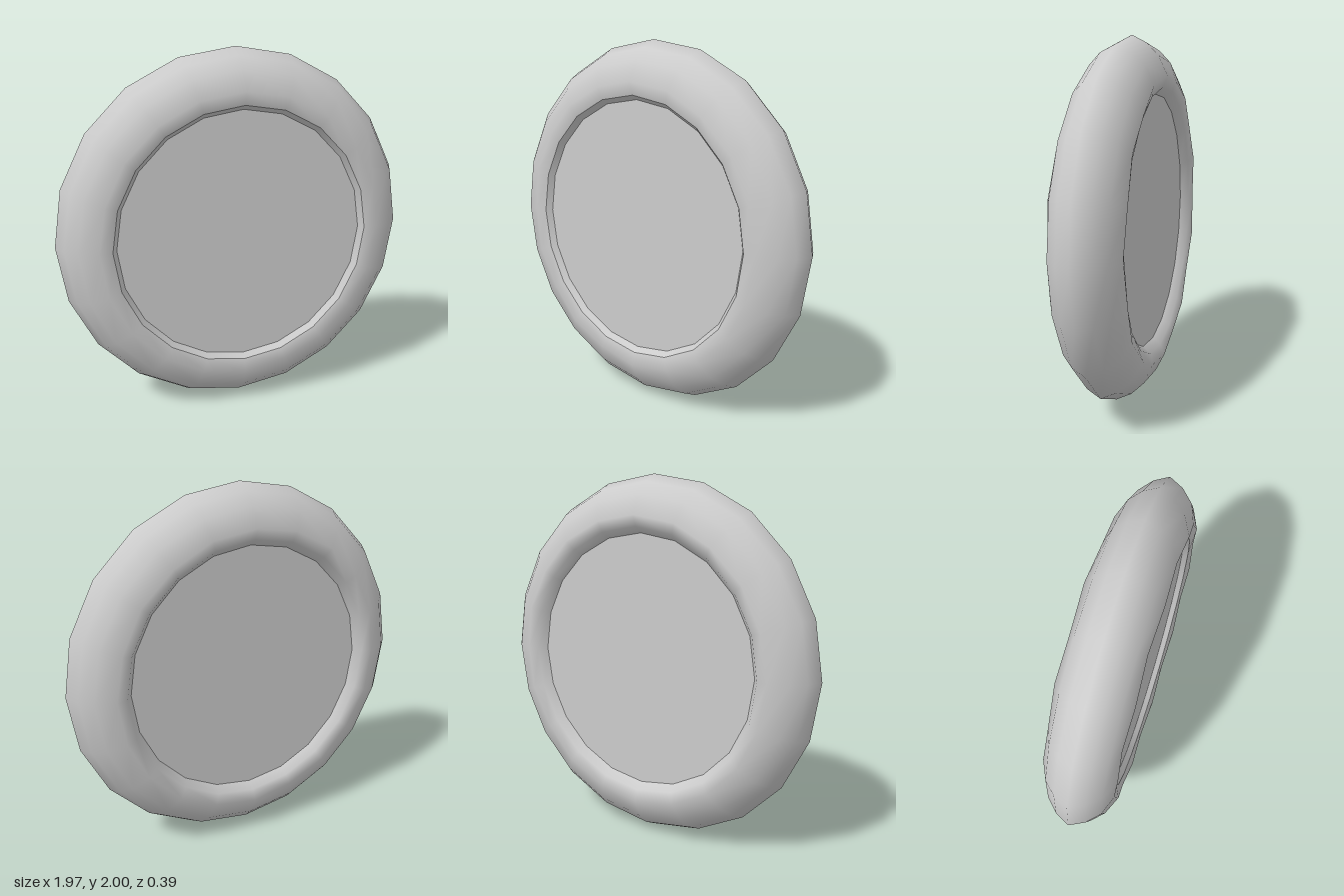
import * as THREE from 'three';

const SIDES = 20;
const material = new THREE.MeshStandardMaterial({ color: 0xcccccc });

// Revolve [radius, z] points about the z axis, with a slightly narrow x
function revolve(name, points, ripple = 0) {
  const geometry = new THREE.LatheGeometry(points.map(([r, z]) => new THREE.Vector2(r, z)), SIDES);
  const pos = geometry.attributes.position;
  // Fullest loops of the rim alternate a little in depth
  for (let i = 0; i < pos.count; i++) {
    const y = pos.getY(i);
    const side = Math.floor(i / points.length);
    if (Math.abs(y) > 0.18 && side % 2) pos.setY(i, y - Math.sign(y) * ripple);
  }
  geometry.rotateX(Math.PI / 2);
  geometry.scale(0.985, 1, 1);
  const mesh = new THREE.Mesh(geometry, material);
  mesh.name = name;
  return mesh;
}

// Flat panel closing one side of the opening
function panel(name, radius, z, facing) {
  const geometry = new THREE.CircleGeometry(radius, SIDES);
  if (facing < 0) geometry.rotateY(Math.PI);
  geometry.scale(0.985, 1, 1);
  const mesh = new THREE.Mesh(geometry, material);
  mesh.name = name;
  mesh.position.z = z;
  return mesh;
}

export function createModel() {
  const model = new THREE.Group();
  model.name = 'roundCushionFrame';

  const body = new THREE.Group();
  body.name = 'body';
  body.position.y = 1;
  model.add(body);

  // Puffy outer rim, from the back panel round to the front lip
  body.add(revolve('rim', [
    [0.695, -0.125], [0.73, -0.17], [0.79, -0.195], [0.895, -0.145], [0.96, -0.08],
    [1, 0],
    [0.96, 0.08], [0.895, 0.145], [0.79, 0.193], [0.72, 0.172],
  ], 0.01));

  // Creased wall stepping down to the front panel
  body.add(revolve('frontLip', [[0.72, 0.172], [0.695, 0.14]]));

  body.add(panel('frontPanel', 0.695, 0.14, 1));
  body.add(panel('backPanel', 0.695, -0.125, -1));

  return model;
}
